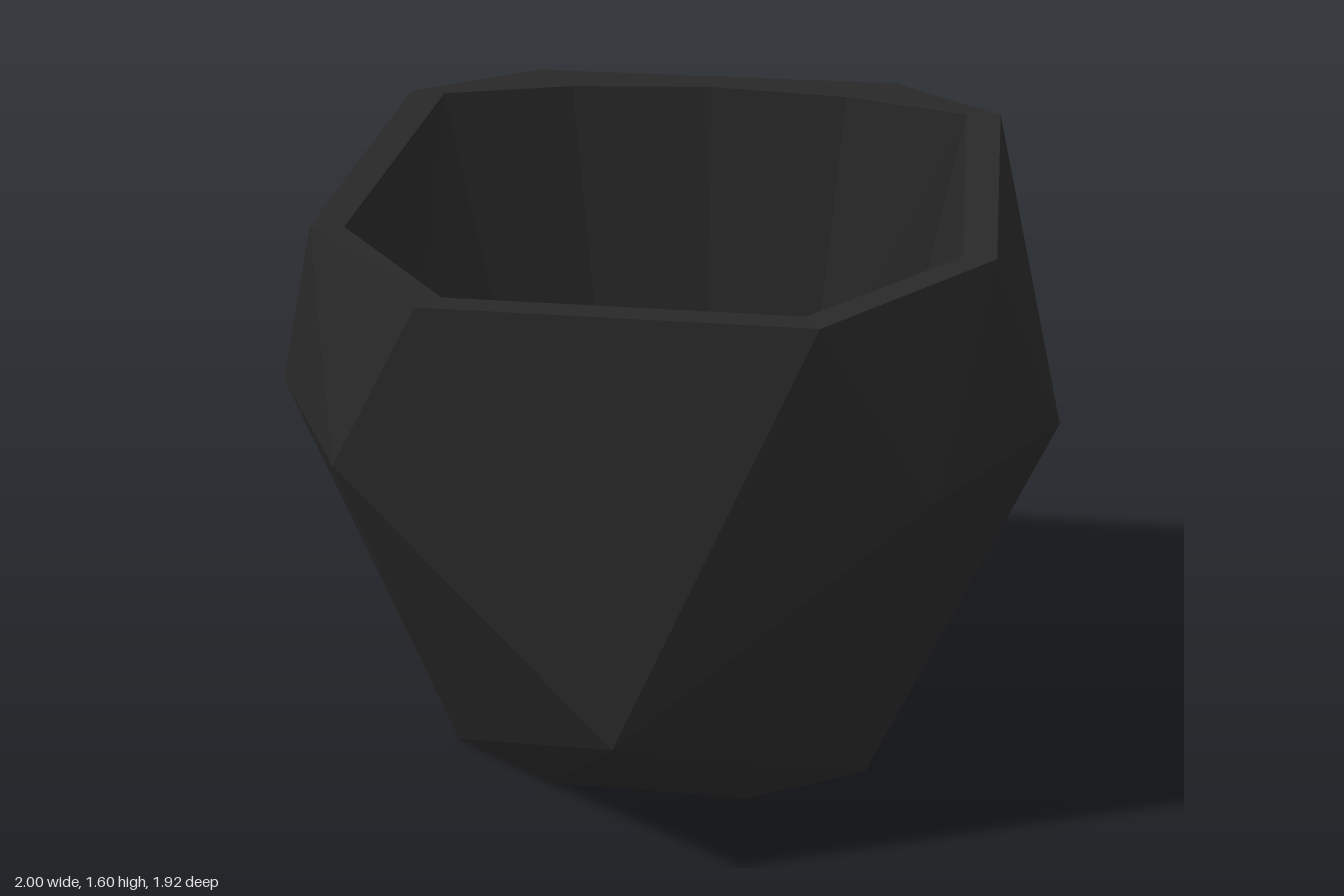
import * as THREE from 'three';
import { ConvexGeometry } from 'three/addons/geometries/ConvexGeometry.js';

// Full loop, counterclockwise from above, from its left half (last point lies on the centre plane)
const loop = (half) => [
  ...half,
  ...half.slice(0, -1).reverse().map(([x, y, z]) => [-x, y, z]),
];

function geometryFrom(positions) {
  const g = new THREE.BufferGeometry();
  g.setAttribute('position', new THREE.Float32BufferAttribute(positions, 3));
  g.computeVertexNormals();
  return g;
}

// Band of triangles between two loops, facing up or inward
function band(outer, inner) {
  const p = [];
  outer.forEach((a, i) => {
    const j = (i + 1) % outer.length;
    p.push(...a, ...outer[j], ...inner[j], ...a, ...inner[j], ...inner[i]);
  });
  return geometryFrom(p);
}

export function createModel() {
  const group = new THREE.Group();
  group.name = 'facetedPlanter';
  const charcoal = new THREE.MeshStandardMaterial({ color: 0x282828 });
  charcoal.name = 'charcoal';
  charcoal.flatShading = true;
  const add = (name, geometry) => {
    const mesh = new THREE.Mesh(geometry, charcoal);
    mesh.name = name;
    group.add(mesh);
  };

  const rimHalf = [
    [0.46, 1.45, 0.87], [0.83, 1.49, 0.44], [0.8, 1.6, -0.44], [0.5, 1.6, -0.73], [0, 1.6, -0.73],
  ];
  const mouthHalf = [
    [0.42, 1.445, 0.78], [0.75, 1.485, 0.42], [0.71, 1.595, -0.45], [0.38, 1.595, -0.58], [0, 1.595, -0.63],
  ];
  const floorHalf = [
    [0.08, 0.7, 0.68], [0.68, 0.7, 0.2], [0.54, 0.7, -0.48], [0.3, 0.7, -0.57], [0, 0.7, -0.61],
  ];

  // Outer shell: hull of the facet corners with the top left open
  const sideCorners = [
    ...rimHalf.slice(0, 4),
    [0.72, 0.98, 0.72], [1, 0.99, 0.2], [0.72, 1.04, -0.7], [0.65, 0.36, -0.42],
    [0.26, 0, 0.46], [0.55, 0, 0.27], [0.56, 0, -0.15], [0.22, 0.02, -0.42],
  ];
  const corners = [[0, 0.4, 0.96], [0, 0.5, -0.96]];
  for (const [x, y, z] of sideCorners) corners.push([x, y, z], [-x, y, z]);
  const hull = new ConvexGeometry(corners.map((c) => new THREE.Vector3(...c))).getAttribute('position');
  const shell = [];
  for (let i = 0; i < hull.count; i += 3) {
    const ids = [i, i + 1, i + 2];
    if (ids.every((k) => hull.getY(k) > 1.4)) continue;
    for (const k of ids) shell.push(hull.getX(k), hull.getY(k), hull.getZ(k));
  }
  add('outerShell', geometryFrom(shell));

  // Rim, tapered cavity and its floor
  const rim = loop(rimHalf);
  const mouth = loop(mouthHalf);
  const floor = loop(floorHalf);
  add('rim', band(rim, mouth));
  add('innerWall', band(mouth, floor));
  add('innerFloor', band(floor, floor.map(() => [0, 0.7, 0])));
  return group;
}
